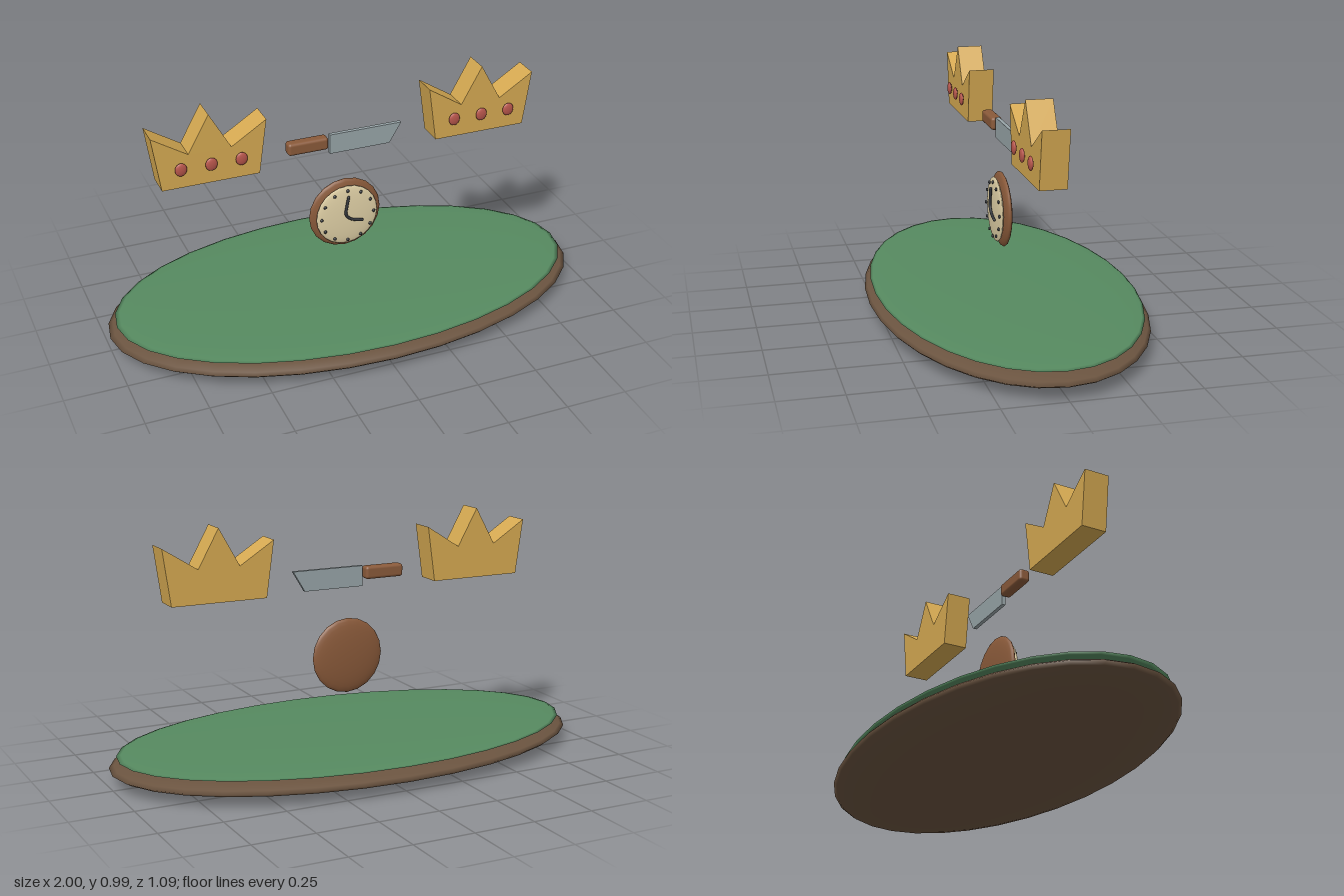
import * as THREE from 'three';
import { RoundedBoxGeometry } from 'three/addons/geometries/RoundedBoxGeometry.js';

const mat = (color) => new THREE.MeshStandardMaterial({ color });
const WOOD = mat(0x8a5a3a), TABLE = mat(0x6b5440), FELT = mat(0x568a60), GOLD = mat(0xd6aa52);
const GEM = mat(0xb8564c), CREAM = mat(0xe3d3a8), DARK = mat(0x33363a), STEEL = mat(0x98a5a8);

function add(parent, name, geometry, material, x = 0, y = 0, z = 0) {
  const mesh = new THREE.Mesh(geometry, material);
  mesh.name = name;
  mesh.position.set(x, y, z);
  parent.add(mesh);
  return mesh;
}

// Squashed sphere; facing 'z' puts its poles front and back
function ellipsoid(rx, ry, rz, segments, facing = 'y') {
  const g = new THREE.SphereGeometry(1, segments, 16);
  if (facing === 'z') g.rotateX(Math.PI / 2);
  return g.scale(rx, ry, rz);
}

// Flat outline extruded evenly about z = 0
function slab(points, depth) {
  const shape = new THREE.Shape(points.map(([x, y]) => new THREE.Vector2(x, y)));
  return new THREE.ExtrudeGeometry(shape, { depth, bevelEnabled: false }).translate(0, 0, -depth / 2);
}

function group(parent, name, x, y) {
  const g = new THREE.Group();
  g.name = name;
  g.position.set(x, y, 0);
  parent.add(g);
  return g;
}

export function createModel() {
  const model = new THREE.Group();
  model.name = 'tableScene';

  // Oval table with felt top
  add(model, 'tableBase', ellipsoid(1, 0.058, 0.545, 32), TABLE, 0, 0.06);
  add(model, 'feltTop', ellipsoid(0.97, 0.018, 0.522, 32), FELT, 0, 0.105);

  // A pair of jewelled crowns
  const outline = [[-0.195, 0.705], [0.195, 0.705], [0.227, 0.93], [0.085, 0.84],
    [0, 0.992], [-0.085, 0.84], [-0.227, 0.93]];
  for (const side of [-1, 1]) {
    const crown = group(model, side > 0 ? 'leftCrown' : 'rightCrown', side * 0.568, 0);
    add(crown, 'crownBody', slab(outline, 0.104), GOLD);
    for (const x of [-0.12, 0, 0.12])
      add(crown, 'gem', ellipsoid(0.024, 0.027, 0.009, 16), GEM, x, 0.788, 0.064);
  }

  // Knife
  const knife = group(model, 'knife', 0, 0);
  add(knife, 'knifeHandle', new RoundedBoxGeometry(0.168, 0.052, 0.046, 3, 0.012), WOOD, -0.159, 0.758, 0);
  add(knife, 'knifeBlade', slab([[-0.065, 0.705], [0.19, 0.705], [0.24, 0.788], [-0.065, 0.788]], 0.016), STEEL);

  // Clock: case, dial, twelve hour marks and bent hands
  const clock = group(model, 'clock', 0, 0.424);
  add(clock, 'clockCase', ellipsoid(0.154, 0.154, 0.026, 20, 'z'), WOOD);
  add(clock, 'clockDial', ellipsoid(0.132, 0.132, 0.013, 24, 'z'), CREAM, 0, 0, 0.025);
  for (let i = 0; i < 12; i++) {
    const a = (i * Math.PI) / 6;
    add(clock, 'hourMark', ellipsoid(0.007, 0.007, 0.005, 8), DARK,
      Math.sin(a) * 0.113, Math.cos(a) * 0.113, 0.036);
  }
  const path = new THREE.CatmullRomCurve3([[0, 0.088], [-0.008, 0.045], [-0.011, 0.01], [0.012, -0.014], [0.06, -0.028]]
    .map(([x, y]) => new THREE.Vector3(x, y, 0.044)));
  add(clock, 'clockHands', new THREE.TubeGeometry(path, 24, 0.006, 8), DARK);
  const ends = [path.getPoint(0), path.getPoint(1)];
  for (const p of ends) add(clock, 'handTip', new THREE.SphereGeometry(0.006, 8, 6), DARK, p.x, p.y, p.z);

  return model;
}
